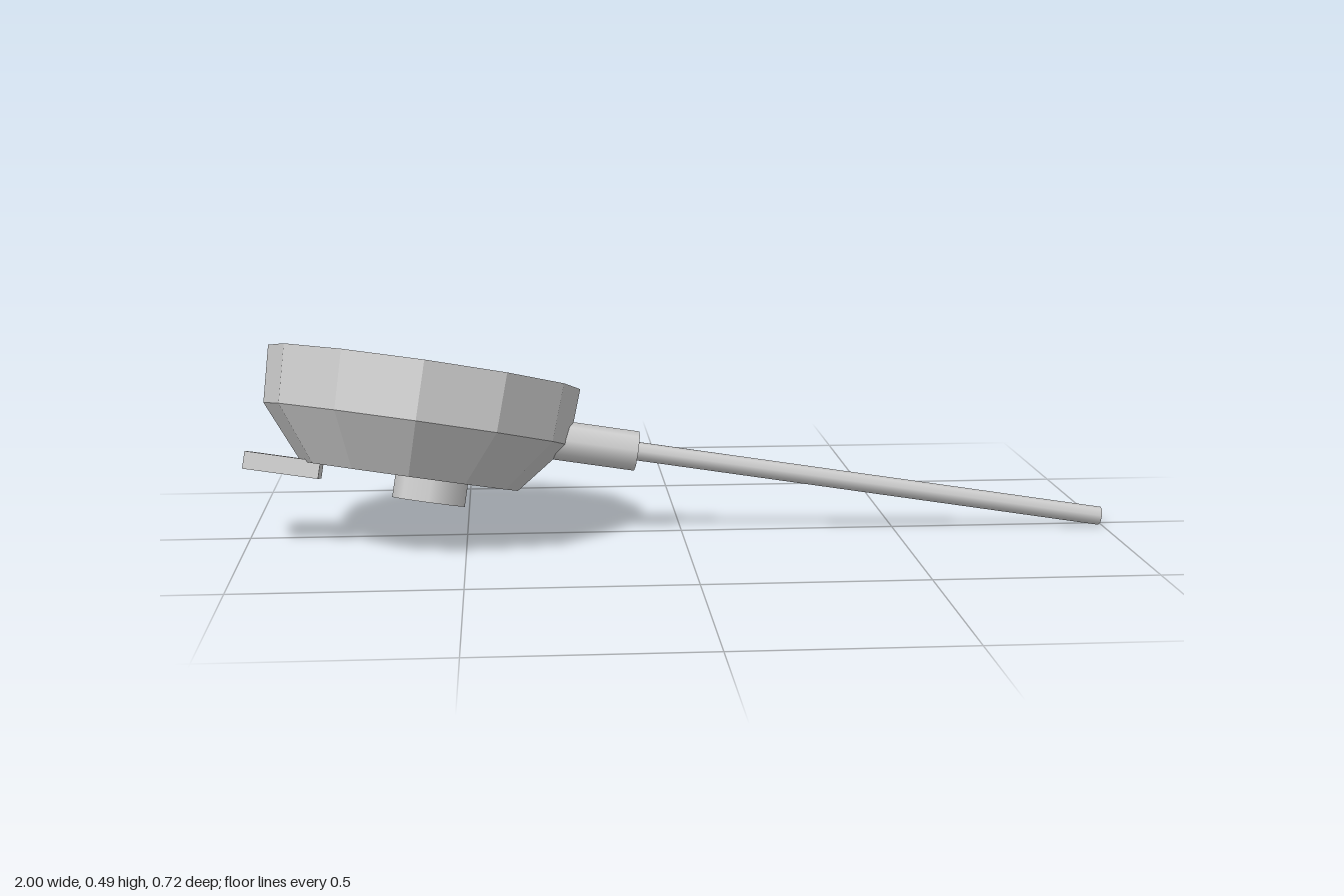
import * as THREE from 'three';

export function createModel() {
  const model = new THREE.Group();
  model.name = 'ladlePan';
  const grey = new THREE.MeshStandardMaterial({ color: 0xcccccc });
  grey.name = 'plain grey';

  // everything shares one tilted frame, with its origin at the centre of the flat top
  const body = new THREE.Group();
  body.name = 'tiltedBody';
  body.position.set(-0.59, 0.395, -0.008);
  body.rotation.set(THREE.MathUtils.degToRad(-11.7), 0, THREE.MathUtils.degToRad(-9), 'ZYX');
  model.add(body);

  const add = (name, geometry, x, y, z) => {
    const mesh = new THREE.Mesh(geometry, grey);
    mesh.name = name;
    mesh.position.set(x, y, z);
    body.add(mesh);
    return mesh;
  };

  // faceted twelve-sided bowl with a flat closed top and bottom
  const profile = [[0, -0.253], [0.25, -0.253], [0.352, -0.132], [0.36, 0], [0, 0]]
    .map(([r, y]) => new THREE.Vector2(r, y));
  const bowl = new THREE.LatheGeometry(profile, 12).toNonIndexed();
  bowl.computeVertexNormals();
  add('bowl', bowl, 0, 0, 0);

  // handle: eight-sided collar and long thin rod along local x
  const bar = (name, radius, from, to) => {
    const geometry = new THREE.CylinderGeometry(radius, radius, to - from, 8);
    geometry.rotateZ(-Math.PI / 2);
    add(name, geometry, (from + to) / 2, -0.124, 0);
  };
  bar('handleCollar', 0.046, 0.26, 0.51);
  bar('handleRod', 0.0215, 0.45, 1.625);

  // round foot under the bowl, off centre
  add('footKnob', new THREE.CylinderGeometry(0.086, 0.086, 0.065, 8), 0.05, -0.276, -0.14);

  // flat tab opposite the handle
  add('rearTab', new THREE.BoxGeometry(0.17, 0.04, 0.146), -0.287, -0.267, 0);

  return model;
}
